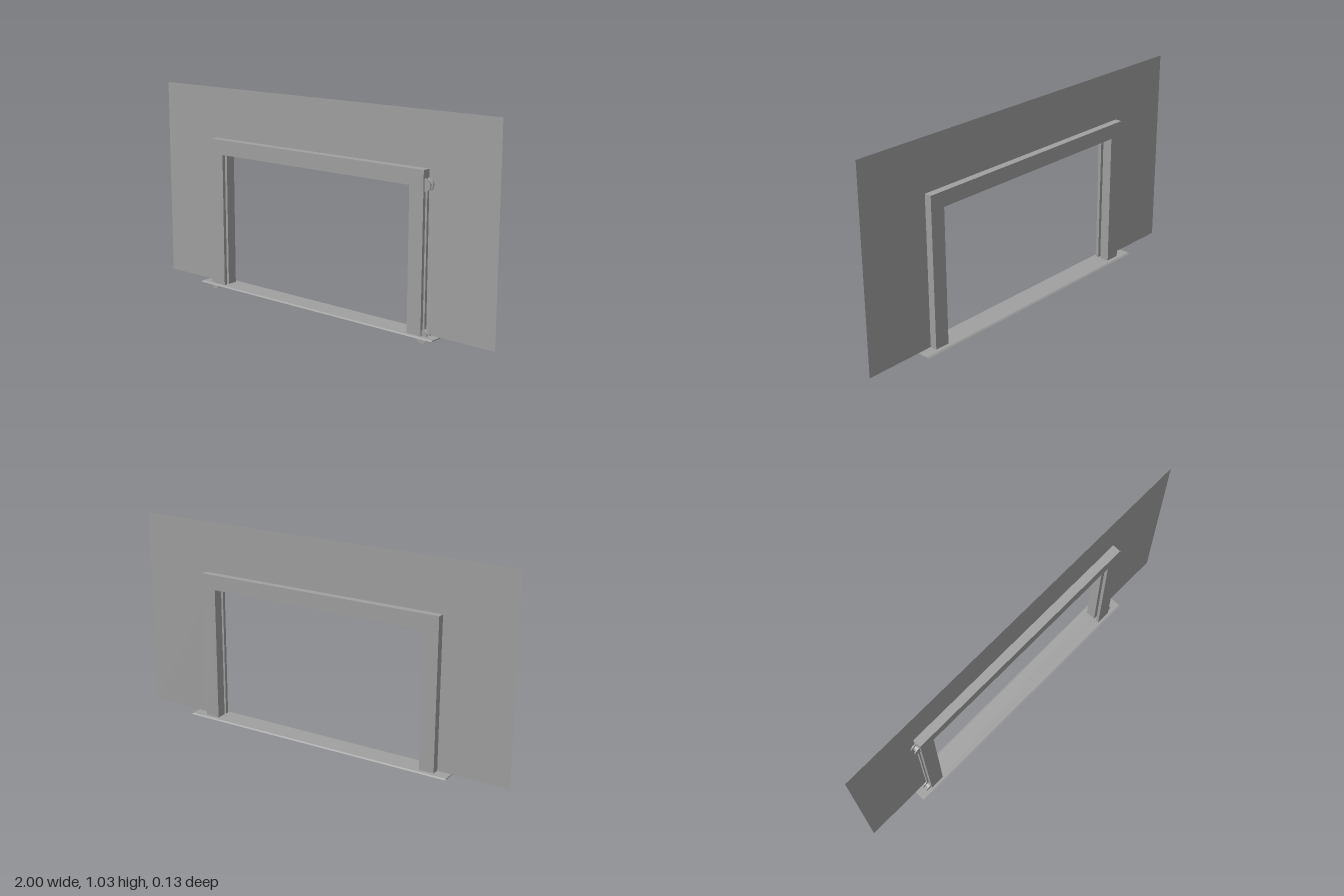
import * as THREE from 'three';

export function createModel() {
  const model = new THREE.Group();
  const grey = new THREE.MeshStandardMaterial({ color: 0xa0a0a0 });
  grey.name = 'grey';
  grey.side = THREE.DoubleSide;

  const add = (name, geometry, x = 0, y = 0, z = 0) => {
    const mesh = new THREE.Mesh(geometry, grey);
    mesh.name = name;
    mesh.position.set(x, y, z);
    model.add(mesh);
    return mesh;
  };

  // Upside-down U outline standing on y = base
  const base = 0.035;
  const archShape = (outer, top, inner, innerTop) => new THREE.Shape([
    [-outer, base], [-inner, base], [-inner, innerTop], [inner, innerTop],
    [inner, base], [outer, base], [outer, top], [-outer, top],
  ].map(([x, y]) => new THREE.Vector2(x, y)));

  // Wall sheet around the opening
  add('wallPanel', new THREE.ShapeGeometry(archShape(1, 1.03, 0.6, 0.74)));

  // Frame: two layers with a cable slot between them, closed across the header
  const layer = (name, z0, z1) => add(name, new THREE.ExtrudeGeometry(
    archShape(0.645, 0.777, 0.57, 0.703), { depth: z1 - z0, bevelEnabled: false }), 0, 0, z0);
  layer('frameFront', 0.027, 0.043);
  layer('frameBack', -0.036, 0.0135);
  add('headerCore', new THREE.BoxGeometry(1.29, 0.074, 0.0135), 0, 0.74, 0.02025);

  // Thin sill with bevelled long edges
  const sillProfile = new THREE.Shape([
    [-0.063, 0.03], [0.063, 0.03], [0.055, 0.035], [-0.055, 0.035],
  ].map(([z, y]) => new THREE.Vector2(z, y)));
  const sill = new THREE.ExtrudeGeometry(sillProfile, { depth: 1.434, bevelEnabled: false });
  sill.translate(0, 0, -0.717).rotateY(Math.PI / 2);
  add('sill', sill);

  // Grooved pulleys at the four corners of the cable run
  const pulleyProfile = [
    [0, -0.0145], [0.03, -0.0145], [0.03, -0.009], [0.02, -0.007],
    [0.02, 0.007], [0.03, 0.009], [0.03, 0.0145], [0, 0.0145],
  ].map(([r, h]) => new THREE.Vector2(r, h));
  // Separate bands keep the rim edges sharp
  for (const side of [-1, 1]) {
    for (const [level, y] of [['lower', 0.03], ['upper', 0.71]]) {
      const pulley = new THREE.Group();
      pulley.name = level + (side > 0 ? 'LeftPulley' : 'RightPulley');
      for (let i = 0; i < pulleyProfile.length - 1; i++) {
        const band = new THREE.Mesh(new THREE.LatheGeometry(pulleyProfile.slice(i, i + 2), 32), grey);
        band.name = 'pulleyBand';
        pulley.add(band);
      }
      pulley.rotation.x = Math.PI / 2;
      pulley.position.set(side * 0.645, y, 0.0205);
      model.add(pulley);
    }
  }
  return model;
}
